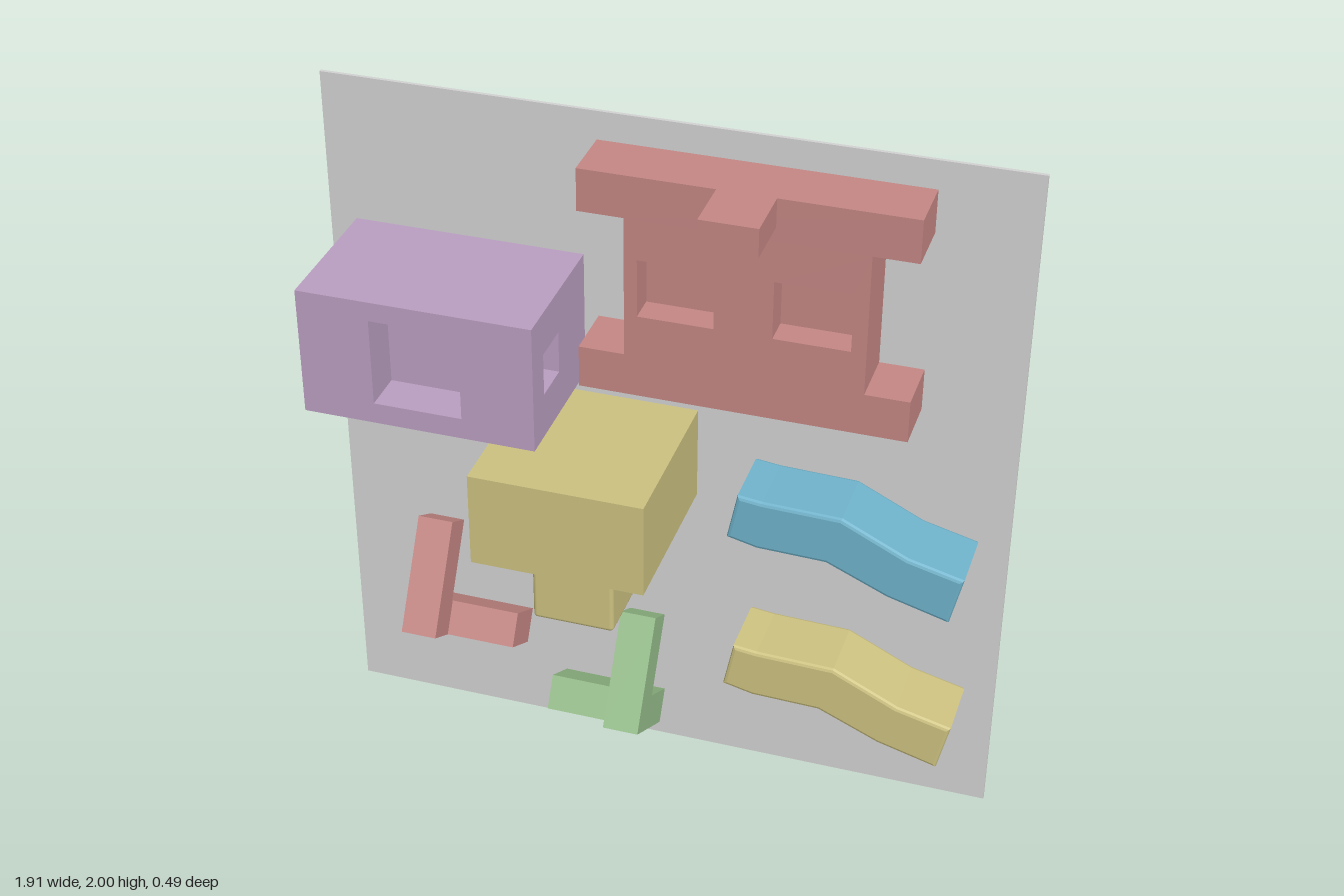
import * as THREE from 'three';
import { RoundedBoxGeometry } from 'three/addons/geometries/RoundedBoxGeometry.js';

const colour = (name, hex) => {
  const m = new THREE.MeshStandardMaterial({ color: hex });
  m.name = name;
  return m;
};

const BACK = -0.237; // front surface of the backing board

export function createModel() {
  const mats = {
    grey: colour('board grey', 0xd2d2d2),
    red: colour('dusty red', 0xc48784),
    purple: colour('soft purple', 0xba9ec1),
    yellow: colour('mustard yellow', 0xccc180),
    blue: colour('muted blue', 0x6fb2ca),
    green: colour('leaf green', 0x95bd89),
  };
  const model = new THREE.Group();
  model.name = 'partsBoard';

  const mesh = (name, geometry, mat, parent = model) => {
    const m = new THREE.Mesh(geometry, mat);
    m.name = name;
    parent.add(m);
    return m;
  };
  const group = (name) => {
    const g = new THREE.Group();
    g.name = name;
    model.add(g);
    return g;
  };
  // Box given by its minimum and maximum corners
  const box = (name, [x0, y0, z0], [x1, y1, z1], mat, parent, radius = 0) => {
    const size = [x1 - x0, y1 - y0, z1 - z0];
    const geo = radius ? new RoundedBoxGeometry(...size, 2, radius) : new THREE.BoxGeometry(...size);
    geo.translate((x0 + x1) / 2, (y0 + y1) / 2, (z0 + z1) / 2);
    return mesh(name, geo, mat, parent);
  };
  const outline = (points) => new THREE.Shape(points.map((p) => new THREE.Vector2(...p)));
  const rect = (x0, y0, x1, y1) => outline([[x0, y0], [x1, y0], [x1, y1], [x0, y1]]);
  const slab = (shape, depth, holes = []) => {
    shape.holes.push(...holes);
    return new THREE.ExtrudeGeometry(shape, { depth, bevelEnabled: false });
  };

  // Backing board
  box('backingBoard', [-0.955, 0, -0.247], [0.955, 2, BACK], mats.grey);

  // Head block: a core, a recessed front panel and two recessed end panels
  const head = group('headBlock');
  const [hx0, hx1, hy0, hy1, hz1] = [-0.88, -0.235, 1.215, 1.58, 0.168];
  const end = 0.1, recess = 0.12;
  box('headCore', [hx0 + end, hy0, BACK], [hx1 - end, hy1, hz1 - recess], mats.purple, head);
  mesh('headFront', slab(rect(hx0 + end, hy0, hx1 - end, hy1), recess, [rect(-0.68, 1.275, -0.435, 1.525)]),
    mats.purple, head).position.z = hz1 - recess;
  for (const [name, x] of [['leftEnd', hx1], ['rightEnd', hx0 + end]]) {
    const panel = mesh(name, slab(rect(BACK, hy0, hz1, hy1), end, [rect(-0.03, 1.34, 0.087, 1.46)]), mats.purple, head);
    panel.rotation.y = -Math.PI / 2;
    panel.position.x = x;
  }

  // Torso frame: an H outline with two square pockets and a top lug
  const torso = group('torsoFrame');
  const hShape = () => outline([
    [-0.195, 1.28], [0.69, 1.28], [0.69, 1.4], [0.57, 1.4], [0.57, 1.8], [0.69, 1.8],
    [0.69, 1.92], [-0.195, 1.92], [-0.195, 1.8], [-0.07, 1.8], [-0.07, 1.4], [-0.195, 1.4],
  ]);
  mesh('torsoBack', slab(hShape(), 0.085), mats.red, torso).position.z = BACK;
  mesh('torsoFront', slab(hShape(), 0.08, [rect(-0.035, 1.52, 0.17, 1.685), rect(0.325, 1.52, 0.53, 1.685)]),
    mats.red, torso).position.z = BACK + 0.085;
  box('torsoLug', [0.17, 1.84, -0.072], [0.325, 1.92, 0.09], mats.red, torso);

  // Pedestal block with a softly rounded stem
  const pedestal = group('pedestal');
  box('pedestalTop', [-0.395, 0.88, BACK], [0.085, 1.155, 0.247], mats.yellow, pedestal);
  box('pedestalStem', [-0.27, 0.635, -0.105], [-0.04, 0.95, 0.125], mats.yellow, pedestal, 0.012);

  // Two matching bent arms with bevelled edges
  const bevel = 0.01;
  const armPoints = [
    [0.225, 0.9], [0.31, 0.88], [0.5, 0.875], [0.67, 0.8], [0.84, 0.753],
    [0.872, 0.897], [0.72, 0.935], [0.537, 1.024], [0.32, 1.03], [0.252, 1.038],
  ];
  for (const [name, mat, dy] of [['upperArm', mats.blue, 0], ['lowerArm', mats.yellow, -0.504]]) {
    const geo = new THREE.ExtrudeGeometry(outline(armPoints), {
      depth: 0.197 - 2 * bevel, bevelSize: bevel, bevelOffset: -bevel, bevelThickness: bevel, bevelSegments: 2,
    });
    mesh(name, geo, mat).position.set(0, dy, BACK + bevel);
  }

  // Tilted corner brackets: an upright, a foot going back and a side foot
  const bracket = (name, mat, x, y, side, depth) => {
    const g = group(name);
    g.position.set(x, y, 0.03);
    g.rotation.x = -Math.PI / 6;
    box('upright', [0, 0, -0.1], [0.103, 0.338, 0], mat, g);
    box('backFoot', [0, 0, -depth], [0.103, 0.1, -0.1], mat, g);
    const x0 = side > 0 ? 0.103 : -0.2;
    box('sideFoot', [x0, 0, -depth], [x0 + 0.2, 0.1, -0.105], mat, g);
  };
  bracket('redBracket', mats.red, -0.71, 0.408, 1, 0.245);
  bracket('greenBracket', mats.green, -0.105, 0.207, -1, 0.245);

  return model;
}
